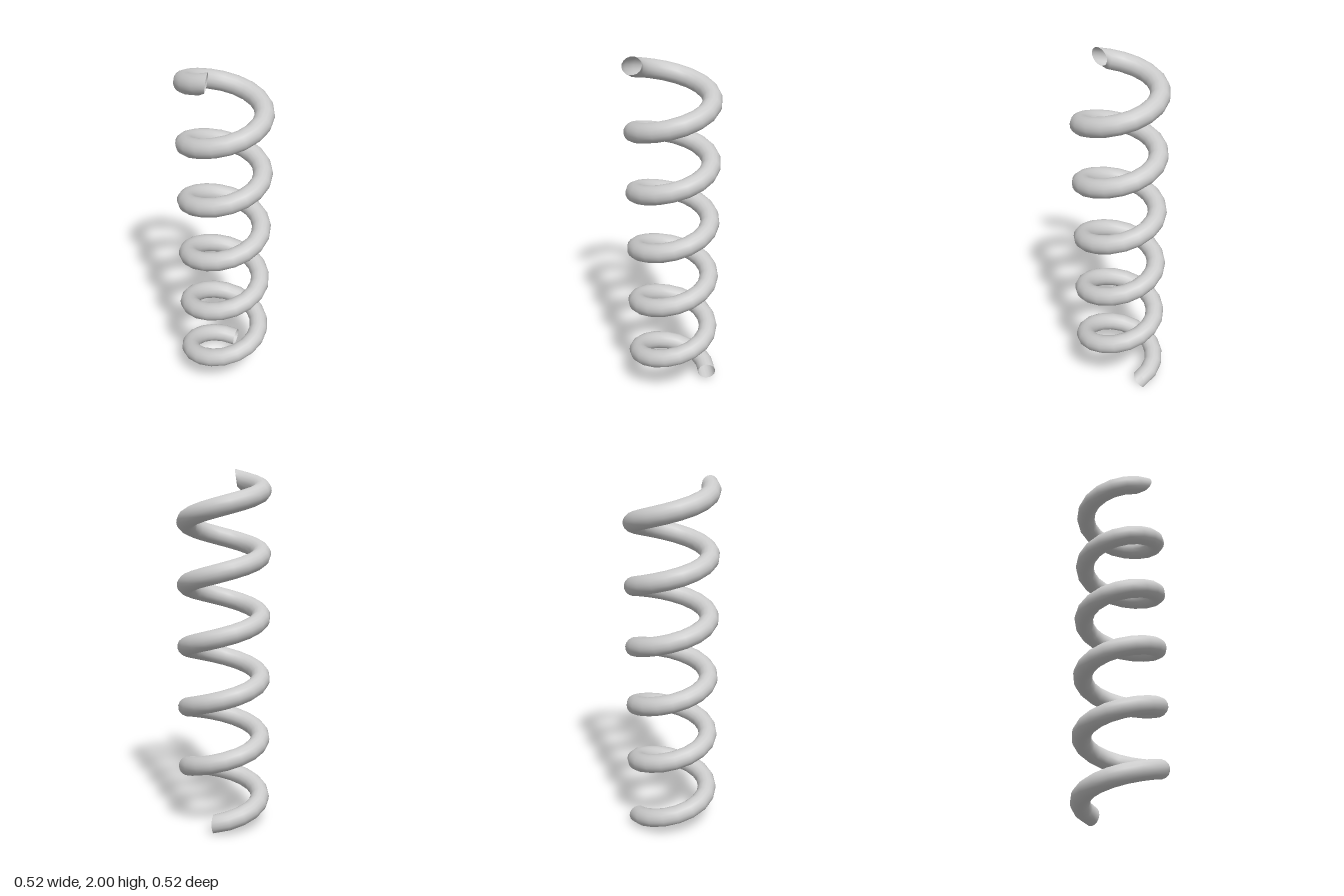
import * as THREE from 'three';

const TURNS = 5.5;
const COIL_RADIUS = 0.2075;
const WIRE_RADIUS = 0.0525;
const Y_START = 0.052;
const Y_END = 1.948;
const SEGMENTS = 100;
const SIDES = 16;

// Centre line of the wire: starts at the back, ends at the front
class Helix extends THREE.Curve {
  getPoint(t, target = new THREE.Vector3()) {
    const a = t * TURNS * Math.PI * 2;
    return target.set(
      -COIL_RADIUS * Math.sin(a),
      THREE.MathUtils.lerp(Y_START, Y_END, t),
      -COIL_RADIUS * Math.cos(a)
    );
  }
}

// Cut one end ring of the wire along a plane x = f(y, z)
function trimRing(geometry, ring, plane) {
  const p = geometry.attributes.position;
  for (let i = 0; i <= SIDES; i++) {
    const k = ring * (SIDES + 1) + i;
    p.setX(k, plane(p.getY(k), p.getZ(k)));
  }
}

export function createModel() {
  const group = new THREE.Group();
  group.name = 'spring';

  // Open-ended round wire
  const geometry = new THREE.TubeGeometry(new Helix(), SEGMENTS, WIRE_RADIUS, SIDES);
  trimRing(geometry, 0, (y) => 0.007 + 0.07 * (y - Y_START));
  trimRing(geometry, SEGMENTS, (y, z) => -0.022 + 0.15 * (y - Y_END) + 0.2 * (z - COIL_RADIUS));

  const coil = new THREE.Mesh(
    geometry,
    new THREE.MeshStandardMaterial({ color: 0xcccccc, side: THREE.DoubleSide })
  );
  coil.name = 'coil';
  group.add(coil);
  return group;
}
